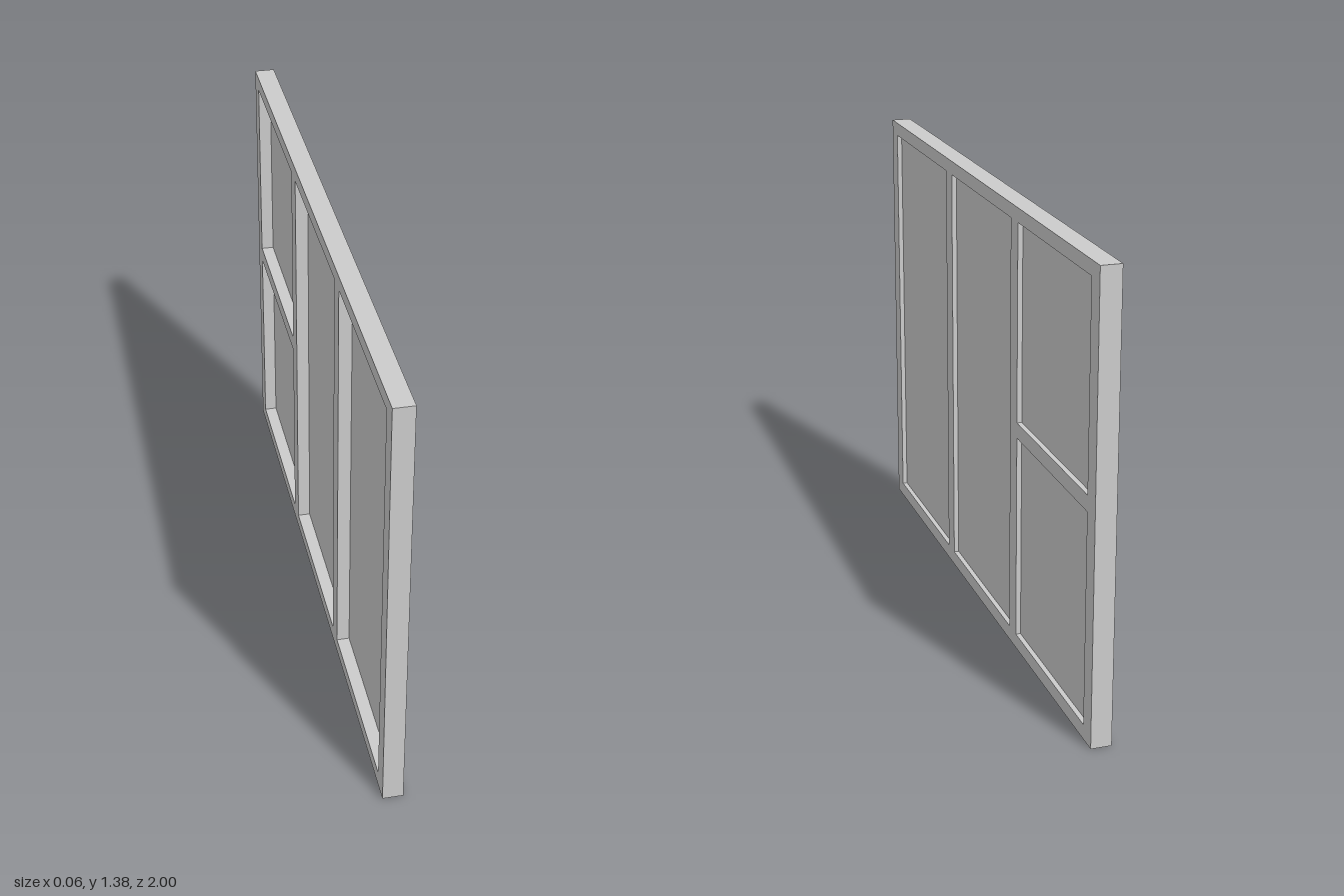
import * as THREE from 'three';

const HEIGHT = 1.378, DEPTH = 0.062;
const PANE_BACK = 0.008, PANE_FRONT = 0.016;

// Openings as [zMin, zMax, yMin, yMax]
const BAYS = [
  [0.355, 0.94, 0.045, 1.335],
  [-0.292, 0.292, 0.045, 1.335],
  [-0.94, -0.355, 0.732, 1.335],
  [-0.94, -0.355, 0.045, 0.684],
];

// Rectangle outline in the plane of the wall (shape x runs along -z)
function outline(path, [z0, z1, y0, y1]) {
  path.moveTo(-z1, y0);
  path.lineTo(-z0, y0);
  path.lineTo(-z0, y1);
  path.lineTo(-z1, y1);
  path.closePath();
  return path;
}

export function createModel() {
  const group = new THREE.Group();
  group.name = 'windowPanel';
  const material = new THREE.MeshStandardMaterial({ color: 0xcccccc });

  // Frame with mullions and transom, extruded across x
  const shape = outline(new THREE.Shape(), [-1, 1, 0, HEIGHT]);
  for (const bay of BAYS) shape.holes.push(outline(new THREE.Path(), bay));
  const frameGeometry = new THREE.ExtrudeGeometry(shape, { depth: DEPTH, bevelEnabled: false });
  frameGeometry.translate(0, 0, -DEPTH / 2).rotateY(Math.PI / 2);
  const frame = new THREE.Mesh(frameGeometry, material);
  frame.name = 'frame';
  group.add(frame);

  // Thin panes, set nearer the +x face
  BAYS.forEach(([z0, z1, y0, y1], i) => {
    const pane = new THREE.Mesh(
      new THREE.BoxGeometry(PANE_FRONT - PANE_BACK, y1 - y0, z1 - z0), material);
    pane.position.set((PANE_FRONT + PANE_BACK) / 2, (y0 + y1) / 2, (z0 + z1) / 2);
    pane.name = `pane${i + 1}`;
    group.add(pane);
  });

  return group;
}
